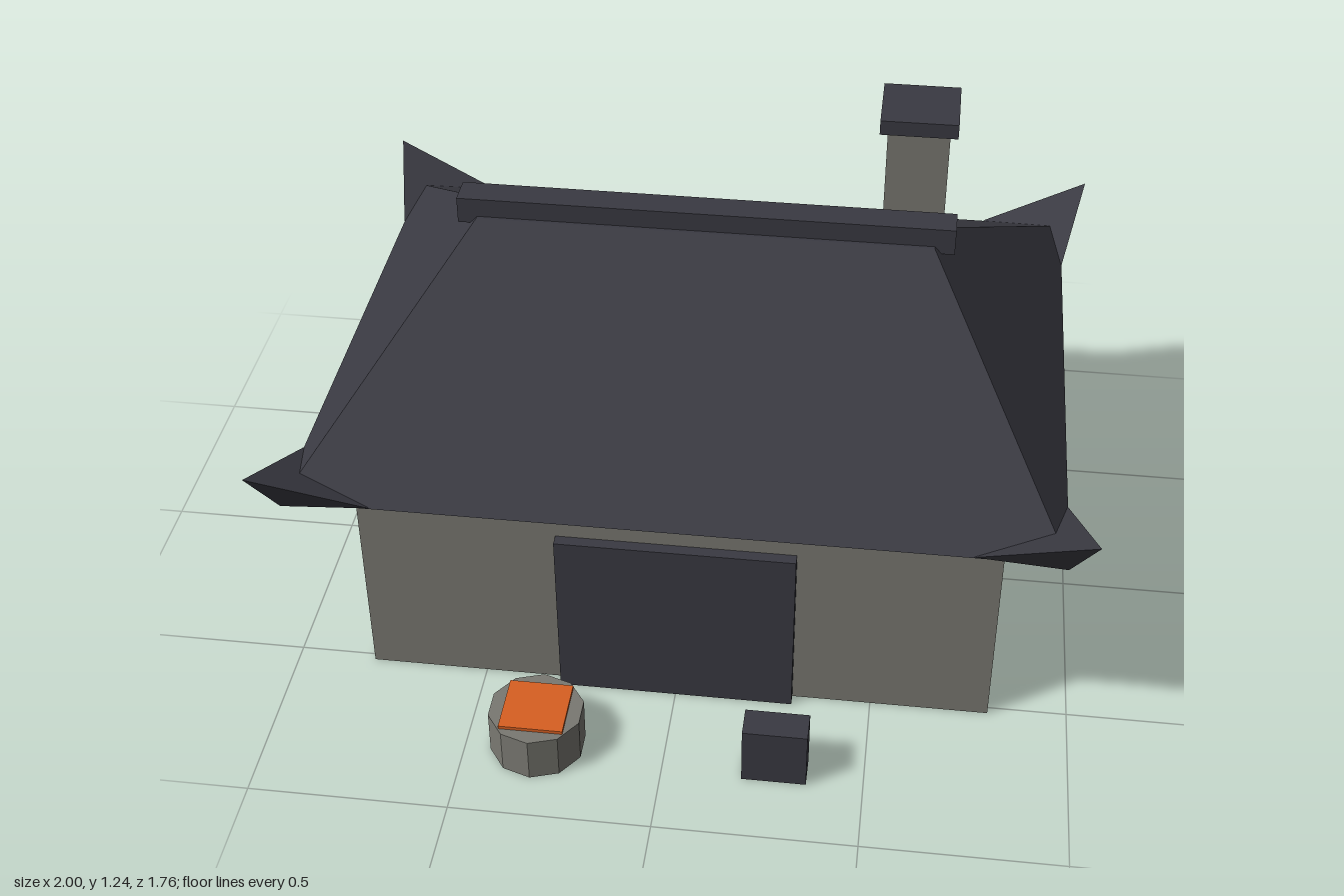
import * as THREE from 'three';
import { ConvexGeometry } from 'three/addons/geometries/ConvexGeometry.js';

const flat = (name, color) => {
  const m = new THREE.MeshStandardMaterial({ color });
  m.name = name;
  return m;
};

export function createModel() {
  const house = new THREE.Group();
  house.name = 'house';
  const stone = flat('stone', 0x7a7972);
  const slate = flat('slate', 0x3a3a42);
  const ember = flat('orange', 0xd86022);
  const midZ = -0.08; // centre line of the house body

  const add = (name, geometry, material, x = 0, y = 0, z = 0) => {
    const mesh = new THREE.Mesh(geometry, material);
    mesh.name = name;
    mesh.position.set(x, y, z);
    house.add(mesh);
    return mesh;
  };
  // Box standing on height y
  const box = (name, material, w, h, d, x, y, z) =>
    add(name, new THREE.BoxGeometry(w, h, d), material, x, y + h / 2, z);

  // Walls and door
  box('walls', stone, 1.6, 0.64, 1.2, 0, 0, midZ);
  box('door', slate, 0.6, 0.48, 0.03, 0, 0, 0.535);

  // Hipped roof: a box whose top is drawn in to a narrow ridge
  const roof = new THREE.BoxGeometry(1.88, 0.4, 1.48);
  const p = roof.attributes.position;
  for (let i = 0; i < p.count; i++) {
    if (p.getY(i) > 0) {
      p.setX(i, Math.sign(p.getX(i)) * 0.58);
      p.setZ(i, Math.sign(p.getZ(i)) * 0.05);
    }
  }
  roof.computeVertexNormals();
  add('roof', roof, slate, 0, 0.84, midZ);
  box('ridgeBeam', slate, 1.26, 0.07, 0.08, 0, 1.02, midZ);

  // Upturned eave tips on the four corners
  for (const sx of [-1, 1]) {
    for (const sz of [-1, 1]) {
      const corners = [
        [0.72, 0.642, 0.74],
        [0.94, 0.642, 0.53],
        [0.94, 0.627, 0.74],
        [1.0, 0.75, 0.8],
      ].map(([x, y, z]) => new THREE.Vector3(sx * x, y, sz * z));
      add('eaveTip', new ConvexGeometry(corners), slate, 0, 0, midZ);
    }
  }

  // Chimney
  box('chimney', stone, 0.16, 0.5, 0.16, 0.52, 0.7, -0.4);
  box('chimneyCap', slate, 0.2, 0.04, 0.2, 0.52, 1.2, -0.4);

  // Fire pit and the block beside it
  const pit = new THREE.CylinderGeometry(0.12, 0.12, 0.12, 10).toNonIndexed();
  pit.computeVertexNormals();
  add('firePit', pit, stone, -0.32, 0.06, 0.76);
  box('embers', ember, 0.16, 0.009, 0.16, -0.32, 0.12, 0.76);
  box('block', slate, 0.16, 0.16, 0.08, 0.28, 0, 0.78);

  return house;
}
